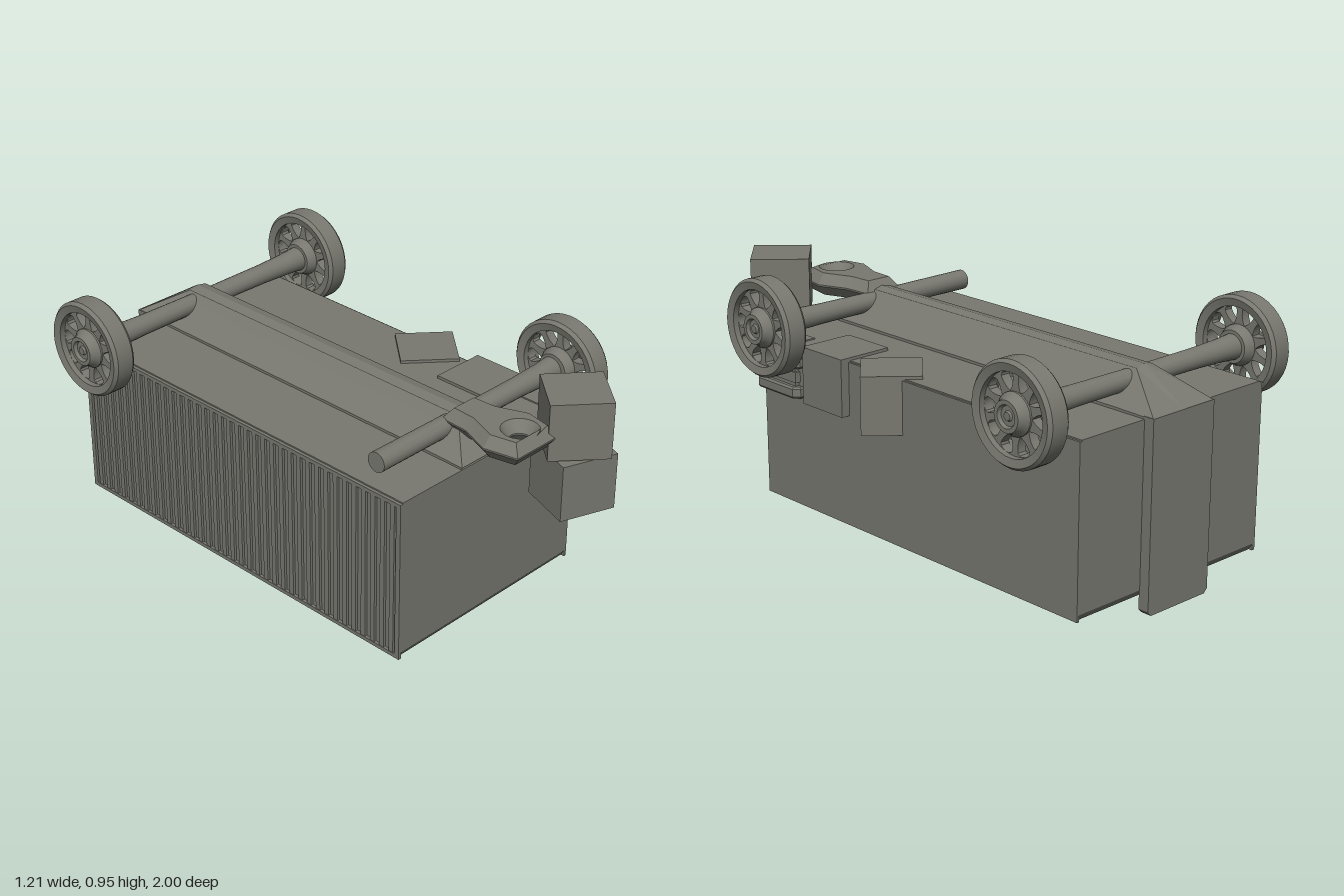
import * as THREE from 'three';
import { toCreasedNormals } from 'three/addons/utils/BufferGeometryUtils.js';

export function createModel() {
  const model = new THREE.Group();
  const grey = new THREE.MeshStandardMaterial({ color: 0x787870 });
  grey.name = 'stoneGrey';

  const add = (name, geo, parent = model, crease = 0.6) => {
    const mesh = new THREE.Mesh(toCreasedNormals(geo, crease), grey);
    mesh.name = name;
    parent.add(mesh);
    return mesh;
  };
  // box given by its limits
  const block = (name, x0, x1, y0, y1, z0, z1, parent = model) => {
    const m = add(name, new THREE.BoxGeometry(x1 - x0, y1 - y0, z1 - z0), parent);
    m.position.set((x0 + x1) / 2, (y0 + y1) / 2, (z0 + z1) / 2);
    return m;
  };
  const lathe = (pts, seg) =>
    new THREE.LatheGeometry(pts.map(p => new THREE.Vector2(p[0], p[1])), seg).rotateZ(-Math.PI / 2);

  // overturned box body: chamfered lower ends between thin side walls
  const profile = new THREE.Shape([
    [-0.67, 0.09], [-0.655, 0.065], [0.945, 0.065], [0.96, 0.09], [0.96, 0.695], [-0.67, 0.695],
  ].map(p => new THREE.Vector2(p[0], p[1])));
  const body = add('body', new THREE.ExtrudeGeometry(profile, { depth: 0.88, bevelEnabled: false })
    .rotateY(Math.PI / 2), model, 0.2);
  body.position.x = -0.448;
  block('leftWall', 0.43, 0.44, 0.065, 0.69, -0.96, 0.67);

  // framed right wall with upright ribs
  const wall = new THREE.Group();
  wall.name = 'ribbedWall';
  model.add(wall);
  block('topRail', -0.46, -0.447, 0.675, 0.69, -0.96, 0.67, wall);
  block('bottomRail', -0.46, -0.447, 0.065, 0.08, -0.96, 0.67, wall);
  block('rearPost', -0.46, -0.447, 0.08, 0.675, -0.96, -0.94, wall);
  block('frontPost', -0.46, -0.447, 0.08, 0.675, 0.65, 0.67, wall);
  for (let i = 0; i < 36; i++) {
    const z = -0.92 + i * 0.0443;
    block('rib', -0.458, -0.447, 0.08, 0.675, z - 0.01, z + 0.01, wall);
  }

  // rear strap
  const strap = new THREE.Shape([[-0.16, 0.02], [-0.145, 0.005], [0.125, 0.005], [0.14, 0.02],
    [0.14, 0.705], [-0.16, 0.705]].map(p => new THREE.Vector2(p[0], p[1])));
  add('rearStrap', new THREE.ExtrudeGeometry(strap, { depth: 0.043, bevelEnabled: false }), model, 0.2)
    .position.z = -1;

  // ridge beam with hipped ends, lofted from faceted cross-sections
  const full = [[-0.15, 0.69], [-0.15, 0.705], [-0.085, 0.765], [-0.04, 0.812], [0, 0.82],
    [0.04, 0.812], [0.085, 0.765], [0.15, 0.705], [0.15, 0.69]];
  const flat = full.map(([x, y], i) => [x === 0 ? 0 : Math.sign(x) * 0.15, Math.min(y, 0.702)]);
  const loops = [[-1, flat], [-0.82, full], [0.55, full], [0.67, flat]];
  const verts = [], idx = [], n = full.length;
  for (const [z, pts] of loops) for (const [x, y] of pts) verts.push(x - 0.01, y, z);
  for (let k = 0; k < loops.length - 1; k++) {
    for (let i = 0; i < n - 1; i++) {
      const a = k * n + i, b = a + n;
      idx.push(a, b, b + 1, a, b + 1, a + 1);
    }
  }
  const ridge = new THREE.BufferGeometry();
  ridge.setAttribute('position', new THREE.Float32BufferAttribute(verts, 3));
  ridge.setIndex(idx);
  add('ridgeBeam', ridge, model, 0.15);

  // bevelled coupling plate with pin hole
  const half = [[0.05, 0.54], [0.055, 0.63], [0.1, 0.745], [0.08, 0.84]];
  const plate = new THREE.Shape([...half, ...half.map(([x, z]) => [-x, z]).reverse()]
    .map(p => new THREE.Vector2(p[0], p[1])));
  plate.holes.push(new THREE.Path().absarc(0, 0.79, 0.068, 0, Math.PI * 2, true));
  add('couplingPlate', new THREE.ExtrudeGeometry(plate, {
    depth: 0.006, bevelThickness: 0.04, bevelSize: 0.03, bevelSegments: 1, curveSegments: 12,
  }).rotateX(Math.PI / 2), model, 0.4).position.set(-0.01, 0.803, 0);

  // axle arms, flaring toward the wheels
  const axle = (name, side, z, broken) => {
    const pts = broken
      ? [[0, 0.03], [0.037, 0.03], [0.038, 0.41], [0, 0.41]]
      : [[0, 0.03], [0.036, 0.03], [0.038, 0.3], [0.042, 0.42], [0.048, 0.5], [0, 0.5]];
    const m = add(name, lathe(pts, 20));
    m.position.set(-0.005, 0.77, z);
    if (side < 0) m.rotation.y = Math.PI;
  };

  // wheel: tyre, pierced disc and stepped hub, outside facing +x
  const disc = new THREE.Shape().absarc(0, 0, 0.152, 0, Math.PI * 2, false);
  for (let i = 0; i < 10; i++) {
    const a = i / 10 * Math.PI * 2;
    const at = (r, t) => [Math.cos(a + t) * r, Math.sin(a + t) * r];
    const hole = new THREE.Path();
    hole.moveTo(...at(0.076, 0));
    hole.bezierCurveTo(...at(0.085, -0.13), ...at(0.11, -0.23), ...at(0.13, -0.21));
    hole.bezierCurveTo(...at(0.15, -0.17), ...at(0.15, 0.17), ...at(0.13, 0.21));
    hole.bezierCurveTo(...at(0.11, 0.23), ...at(0.085, 0.13), ...at(0.076, 0));
    disc.holes.push(hole);
  }
  const tyreGeo = lathe([[0.143, -0.04], [0.172, -0.047], [0.183, -0.034], [0.183, 0.034],
    [0.172, 0.047], [0.143, 0.04], [0.143, -0.04]], 40);
  const discGeo = new THREE.ExtrudeGeometry(disc, { depth: 0.036, bevelEnabled: false, curveSegments: 6 })
    .rotateY(Math.PI / 2).translate(-0.018, 0, 0);
  const hubGeo = lathe([[0, -0.055], [0.06, -0.055], [0.075, -0.025], [0.075, 0.025], [0.062, 0.04],
    [0.055, 0.06], [0.04, 0.06], [0.034, 0.048], [0.018, 0.048], [0.014, 0.056], [0, 0.056]], 24);
  const wheel = (name, side, z) => {
    const g = new THREE.Group();
    g.name = name;
    add('tyre', tyreGeo, g);
    add('spokedDisc', discGeo, g);
    add('hub', hubGeo, g);
    g.position.set(side * 0.545 - 0.003, 0.77, z);
    if (side < 0) g.rotation.y = Math.PI;
    model.add(g);
  };
  axle('rearLeftAxle', 1, -0.79);
  axle('rearRightAxle', -1, -0.79);
  axle('frontLeftAxle', 1, 0.515);
  axle('frontRightAxle', -1, 0.515, true);
  wheel('rearLeftWheel', 1, -0.79);
  wheel('rearRightWheel', -1, -0.79);
  wheel('frontLeftWheel', 1, 0.52);

  // stacked corner bracket under the front left wheel
  const slab = new THREE.Shape([[0.33, 0.45], [0.45, 0.45], [0.468, 0.468], [0.468, 0.665],
    [0.45, 0.685], [0.33, 0.685]].map(p => new THREE.Vector2(p[0], p[1])));
  for (const [y0, y1] of [[0.49, 0.535], [0.605, 0.65]]) {
    add('bracketSlab', new THREE.ExtrudeGeometry(slab, {
      depth: y1 - y0 - 0.016, bevelThickness: 0.008, bevelSize: 0.006, bevelSegments: 1,
    }).rotateX(Math.PI / 2), model, 0.3).position.y = y1 - 0.008;
  }
  block('bracketCore', 0.36, 0.455, 0.49, 0.7, 0.47, 0.677);
  block('bracketBar', 0.35, 0.462, 0.55, 0.59, 0.46, 0.682);

  // loose crates
  const crate = (name, s, x, y, z, turn) => {
    const m = add(name, new THREE.BoxGeometry(s, 0.216, s));
    m.position.set(x, y, z);
    m.rotation.y = turn * Math.PI / 180;
  };
  crate('upperCrate', 0.22, 0.215, 0.82, 0.845, -41);
  crate('lowerCrate', 0.215, 0.213, 0.598, 0.85, -20);
  crate('sideCrate', 0.22, 0.365, 0.598, 0.29, 0);
  crate('turnedCrate', 0.218, 0.396, 0.598, -0.002, -41);

  return model;
}
